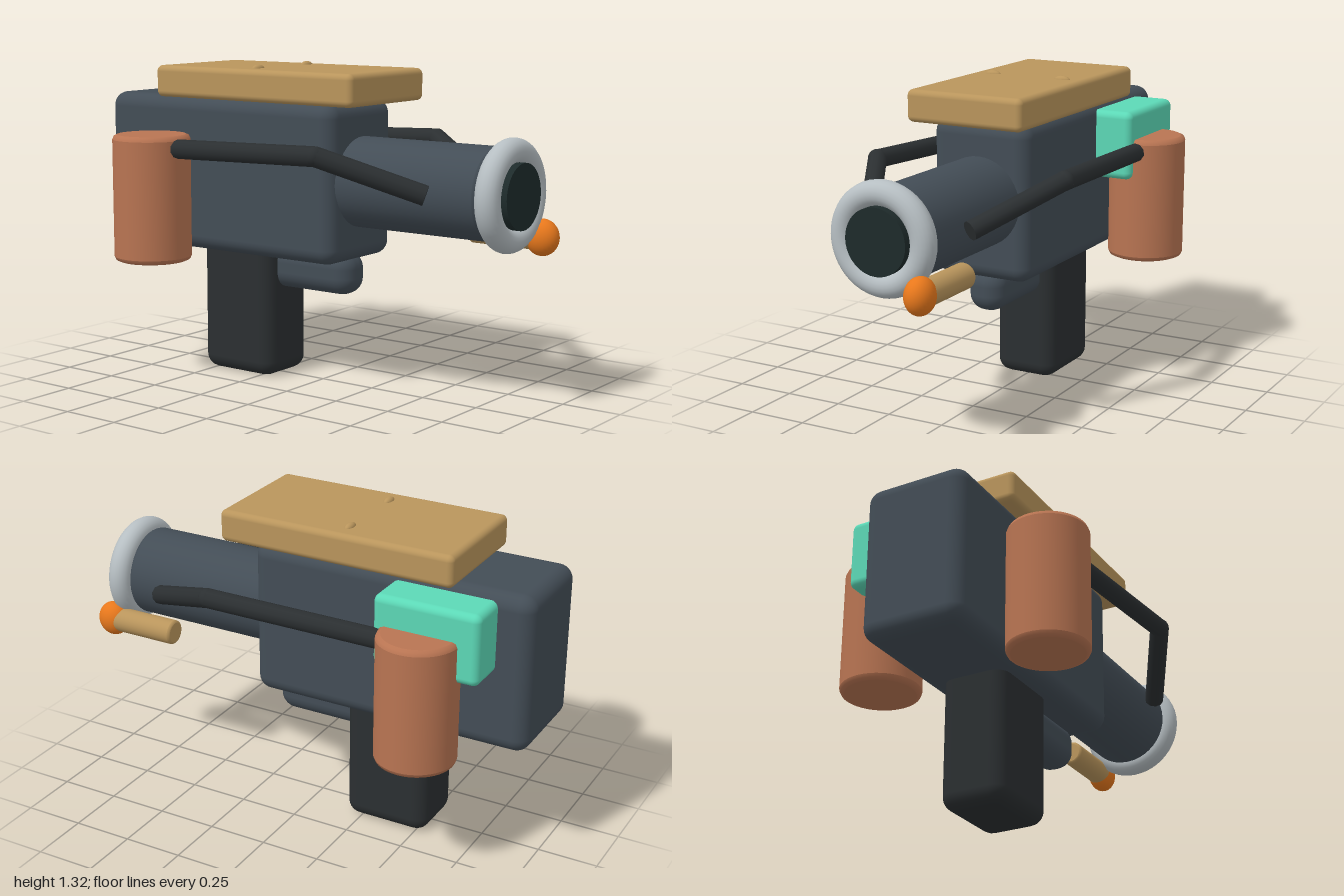
import * as THREE from 'three';
import { RoundedBoxGeometry } from 'three/addons/geometries/RoundedBoxGeometry.js';

const mat = (color) => new THREE.MeshStandardMaterial({ color });

export function createModel() {
  const model = new THREE.Group();
  model.name = 'gadgetBlaster';

  const steel = mat(0x434d56), dark = mat(0x2b2f31), copper = mat(0xb87452);
  const wood = mat(0xb9955c), mint = mat(0x5cd8b6), silver = mat(0xb6bec2);
  const glass = mat(0x1e2b2b), orange = mat(0xe8781c);

  const add = (name, geometry, material, x = 0, y = 0, z = 0) => {
    const mesh = new THREE.Mesh(geometry, material);
    mesh.name = name;
    mesh.position.set(x, y, z);
    model.add(mesh);
    return mesh;
  };

  // Rounded box given by its [min, max] extents
  const block = (name, material, [x0, x1], [y0, y1], [z0, z1], radius, segments = 4) =>
    add(name, new RoundedBoxGeometry(x1 - x0, y1 - y0, z1 - z0, segments, radius), material,
      (x0 + x1) / 2, (y0 + y1) / 2, (z0 + z1) / 2);

  // Upright or lying cylinder with softened rims
  const drum = (radius, length, bevel) => {
    const h = length / 2, b = bevel, k = bevel * 0.3;
    const rim = [[radius - b, h], [radius - k, h - k], [radius, h - b]];
    const flat = [[0, h], [radius - b, h]];
    const side = [[radius, h - b], [radius, b - h]];
    const pts = [...flat, ...rim, ...side, ...rim.map(([r, y]) => [r, -y]).reverse(), [radius - b, -h], [0, -h]];
    return new THREE.LatheGeometry(pts.reverse().map(([r, y]) => new THREE.Vector2(r, y)), 40);
  };

  // Round bar between two points
  const bar = (name, a, b, radius, material, sides = 10) => {
    const dir = b.clone().sub(a);
    const mid = a.clone().add(b).multiplyScalar(0.5);
    const mesh = add(name, new THREE.CylinderGeometry(radius, radius, dir.length(), sides), material, mid.x, mid.y, mid.z);
    mesh.quaternion.setFromUnitVectors(new THREE.Vector3(0, 1, 0), dir.normalize());
    return mesh;
  };

  // Housing, handle and trigger block
  block('body', steel, [-0.22, 0.22], [0.53, 1.18], [-1, 0.2], 0.06);
  block('grip', dark, [-0.14, 0.14], [0, 0.62], [-0.55, -0.18], 0.06, 3);
  block('triggerGuard', steel, [-0.08, 0.08], [0.38, 0.56], [-0.25, 0.18], 0.07);

  // Barrel with muzzle ring and dark lens
  add('barrel', drum(0.185, 0.74, 0.015), steel, 0, 0.855, 0.47).rotation.x = Math.PI / 2;
  add('muzzleRing', new THREE.TorusGeometry(0.173, 0.05, 20, 48), silver, 0, 0.855, 0.89);
  add('lens', new THREE.CylinderGeometry(0.13, 0.13, 0.12, 40), glass, 0, 0.855, 0.887).rotation.x = Math.PI / 2;

  // Top plate with two flat screw heads
  block('topPlate', wood, [-0.26, 0.26], [1.175, 1.307], [-0.69, 0.325], 0.025);

  // Control box on the left side
  block('sideBox', mint, [0.16, 0.38], [0.86, 1.15], [-0.86, -0.42], 0.03);

  // Pilot rod with flame bulb under the barrel
  add('pilotRod', drum(0.052, 0.31, 0.01), wood, 0.18, 0.675, 0.77).rotation.x = Math.PI / 2;
  add('pilotBulb', new THREE.SphereGeometry(1, 28, 20), orange, 0.18, 0.675, 0.93).scale.set(0.058, 0.074, 0.07);

  // Mirrored tanks, struts and screws
  for (const s of [1, -1]) {
    const side = s > 0 ? 'left' : 'right';
    add(side + 'Tank', drum(0.162, 0.53, 0.02), copper, s * 0.373, 0.765, -0.613);

    const front = new THREE.Vector3(s * 0.225, 0.86, 0.65);
    const elbow = new THREE.Vector3(s * 0.428, 1.002, 0.28);
    const back = new THREE.Vector3(s * 0.382, 0.975, -0.55);
    bar(side + 'FrontStrut', front, elbow, 0.04, dark);
    bar(side + 'RearStrut', elbow, back, 0.04, dark);
    add(side + 'StrutElbow', new THREE.SphereGeometry(0.04, 14, 10), dark, elbow.x, elbow.y, elbow.z);

    add(side + 'Screw', new THREE.SphereGeometry(1, 20, 12), wood, s * 0.163, 1.303, -0.21).scale.set(0.036, 0.018, 0.018);
  }

  return model;
}
